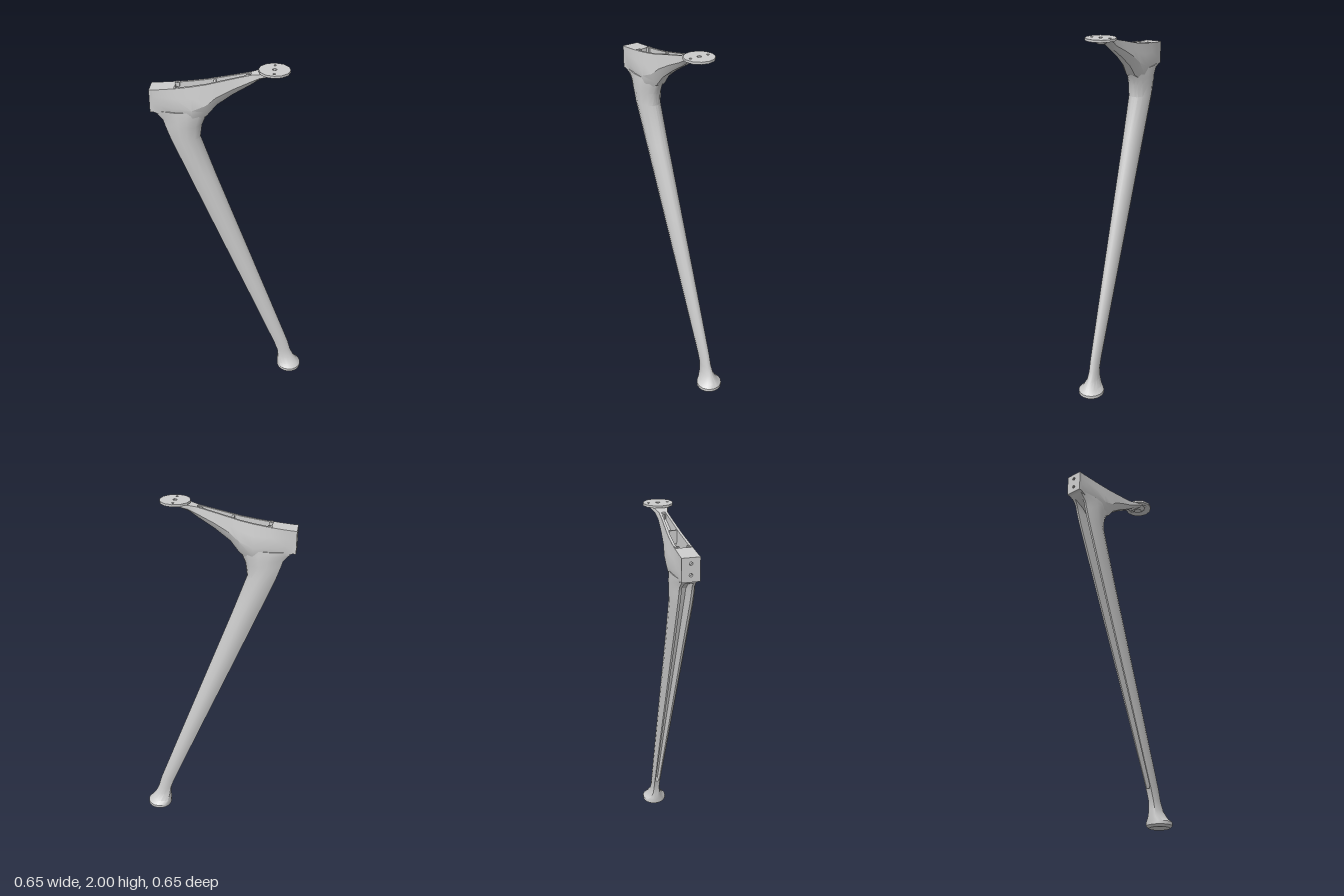
import * as THREE from 'three';
import { toCreasedNormals } from 'three/addons/utils/BufferGeometryUtils.js';

const material = new THREE.MeshStandardMaterial({ color: 0xcccccc, side: THREE.DoubleSide });

// Skin a list of equal-length rings, closing both ends with fans
function loft(rings, crease = 0.5) {
  const tris = [];
  const n = rings[0].length;
  for (let i = 0; i < rings.length - 1; i++) {
    for (let j = 0; j < n; j++) {
      const k = (j + 1) % n;
      const a = rings[i][j], b = rings[i][k], c = rings[i + 1][k], d = rings[i + 1][j];
      tris.push([a, b, c], [a, c, d]);
    }
  }
  const cap = (ring, flip) => {
    const mid = ring.reduce((m, p) => m.add(p), new THREE.Vector3()).divideScalar(n);
    ring.forEach((p, j) => {
      const q = ring[(j + 1) % n];
      tris.push(flip ? [mid, q, p] : [mid, p, q]);
    });
  };
  cap(rings[0], true);
  cap(rings[rings.length - 1], false);
  // Turn the faces outward if the enclosed volume is negative
  const cross = new THREE.Vector3();
  const volume = tris.reduce((v, [a, b, c]) => v + a.dot(cross.crossVectors(b, c)), 0);
  const points = tris.flatMap(([a, b, c]) => (volume < 0 ? [a, c, b] : [a, b, c]));
  return toCreasedNormals(new THREE.BufferGeometry().setFromPoints(points), crease);
}

function polygon(Type, x, y, r, sides) {
  return new Type(Array.from({ length: sides }, (_, i) => {
    const a = (i / sides) * Math.PI * 2;
    return new THREE.Vector2(x + r * Math.cos(a), y + r * Math.sin(a));
  }));
}

function rectangle(x0, x1, y0, y1) {
  return new THREE.Shape([[x0, y0], [x1, y0], [x1, y1], [x0, y1]].map(p => new THREE.Vector2(...p)));
}

const extrude = (shape, depth) => new THREE.ExtrudeGeometry(shape, { depth, bevelEnabled: false });

// Horizontal slab with its top at the given height
const slab = (shape, depth, top) => extrude(shape, depth).rotateX(Math.PI / 2).translate(0, top, 0);

// Leg: faceted section with a channel in its back, blending to a round foot
function legGeometry() {
  // [u from back to front, v across], the first point is the channel floor
  const half = [[0, 0.3], [0, 0.4], [0, 0.6], [0.14, 0.8], [0.38, 1], [0.6, 0.95], [0.84, 0.68], [0.96, 0.36], [1, 0.1]];
  // [y, back, front, half width, channel depth, roundness]
  const sections = [
    [0, 0.296, 0.412, 0.058, 0, 1],
    [0.012, 0.282, 0.426, 0.072, 0, 1],
    [0.03, 0.282, 0.426, 0.072, 0, 1],
    [0.05, 0.28, 0.41, 0.05, 0, 0.7],
    [0.09, 0.282, 0.38, 0.032, 0, 0.3],
    [0.14, 0.28, 0.358, 0.027, 0, 0],
    [0.2, 0.26, 0.342, 0.028, 0, 0],
    [0.21, 0.256, 0.339, 0.028, 0.4, 0],
    [0.6, 0.098, 0.198, 0.038, 0.5, 0],
    [1.0, -0.066, 0.053, 0.047, 0.5, 0],
    [1.4, -0.229, -0.092, 0.056, 0.5, 0],
    [1.62, -0.318, -0.168, 0.062, 0.5, 0],
    [1.69, -0.342, -0.158, 0.063, 0.4, 0],
    [1.725, -0.352, -0.143, 0.063, 0.2, 0],
    [1.75, -0.375, -0.13, 0.062, 0, 0],
    [1.775, -0.4, -0.112, 0.06, 0, 0],
  ];
  return loft(sections.map(([y, back, front, hw, channel, round]) => {
    const side = half.map(([u, v], i) => {
      const a = ((i + 0.5) / half.length) * Math.PI;
      const uu = THREE.MathUtils.lerp(i === 0 ? channel : u, (1 - Math.cos(a)) / 2, round);
      const vv = THREE.MathUtils.lerp(v, Math.sin(a), round);
      return new THREE.Vector3(back + uu * (front - back), y, vv * hw);
    });
    const mirrored = side.map(p => new THREE.Vector3(p.x, p.y, -p.z)).reverse();
    return [...side, ...mirrored];
  }));
}

// Bracket arm: tapering beam with an open trough in its top
function armGeometry() {
  // [s, top, bottom, half width, top half width, bottom half width, trough half width, trough floor]
  const stations = [
    [-0.396, 1.89, 1.77, 0.046, 0.046, 0.046, 0.03, 1.89],
    [-0.36, 1.893, 1.755, 0.05, 0.046, 0.044, 0.03, 1.893],
    [-0.288, 1.9, 1.73, 0.059, 0.045, 0.04, 0.032, 1.9],
    [-0.285, 1.9, 1.73, 0.059, 0.045, 0.04, 0.032, 1.81],
    [-0.2, 1.912, 1.71, 0.063, 0.042, 0.036, 0.029, 1.79],
    [-0.13, 1.924, 1.75, 0.055, 0.038, 0.026, 0.025, 1.81],
    [-0.08, 1.936, 1.81, 0.045, 0.034, 0.02, 0.021, 1.86],
    [0, 1.955, 1.868, 0.036, 0.028, 0.015, 0.016, 1.91],
    [0.086, 1.975, 1.92, 0.029, 0.023, 0.012, 0.01, 1.95],
    [0.089, 1.976, 1.922, 0.029, 0.023, 0.012, 0.01, 1.976],
    [0.13, 1.985, 1.952, 0.035, 0.033, 0.016, 0.012, 1.985],
    [0.18, 1.988, 1.978, 0.05, 0.05, 0.03, 0.02, 1.988],
  ];
  return loft(stations.map(([s, top, bottom, hw, tw, bw, gw, floor]) => {
    const h = top - bottom;
    const side = [
      [floor, gw * 0.85], [top, gw], [top, tw], [top - 0.3 * h, (tw + hw) / 2],
      [bottom + 0.4 * h, hw], [bottom + 0.15 * h, (hw + bw) / 2], [bottom, bw],
    ].map(([y, t]) => new THREE.Vector3(s, y, t));
    const mirrored = side.map(p => new THREE.Vector3(p.x, p.y, -p.z)).reverse();
    return [...side, ...mirrored];
  }));
}

export function createModel() {
  const model = new THREE.Group();
  model.name = 'tableLeg';
  // Everything is built along x, then turned onto the diagonal
  const leg = new THREE.Group();
  leg.name = 'diagonalLeg';
  leg.rotation.y = -Math.PI / 4;
  model.add(leg);
  const add = (name, geometry) => {
    const mesh = new THREE.Mesh(geometry, material);
    mesh.name = name;
    leg.add(mesh);
  };

  add('legAndFoot', legGeometry());
  add('bracketArm', armGeometry());

  // End plate with two bolt holes
  const plate = rectangle(-0.046, 0.046, 1.77, 1.89);
  for (const y of [1.805, 1.86]) plate.holes.push(polygon(THREE.Path, 0, y, 0.009, 10));
  add('endPlate', extrude(plate, 0.018).rotateY(Math.PI / 2).translate(-0.414, 0, 0));

  // Mounting disc with two screw holes and a hexagonal socket
  const disc = polygon(THREE.Shape, 0.202, 0, 0.079, 12);
  for (const t of [-0.051, 0.051]) disc.holes.push(polygon(THREE.Path, 0.202, t, 0.007, 10));
  disc.holes.push(polygon(THREE.Path, 0.202, 0, 0.012, 6));
  add('mountingDisc', slab(disc, 0.012, 2));
  add('discHub', new THREE.CylinderGeometry(0.045, 0.022, 0.02, 12).translate(0.195, 1.979, 0));

  // Cross rib and screw bosses in the trough
  add('troughRib', new THREE.BoxGeometry(0.012, 0.07, 0.044).translate(-0.09, 1.895, 0));
  for (const side of [-1, 1]) {
    const tab = rectangle(-0.29, -0.268, side * 0.031 - 0.011, side * 0.031 + 0.011);
    tab.holes.push(polygon(THREE.Path, -0.278, side * 0.029, 0.006, 8));
    add('screwTab', slab(tab, 0.07, 1.904));
  }
  const boss = polygon(THREE.Shape, 0.076, 0, 0.011, 10);
  boss.holes.push(polygon(THREE.Path, 0.076, 0, 0.006, 8));
  add('screwBoss', slab(boss, 0.025, 1.97));

  return model;
}
